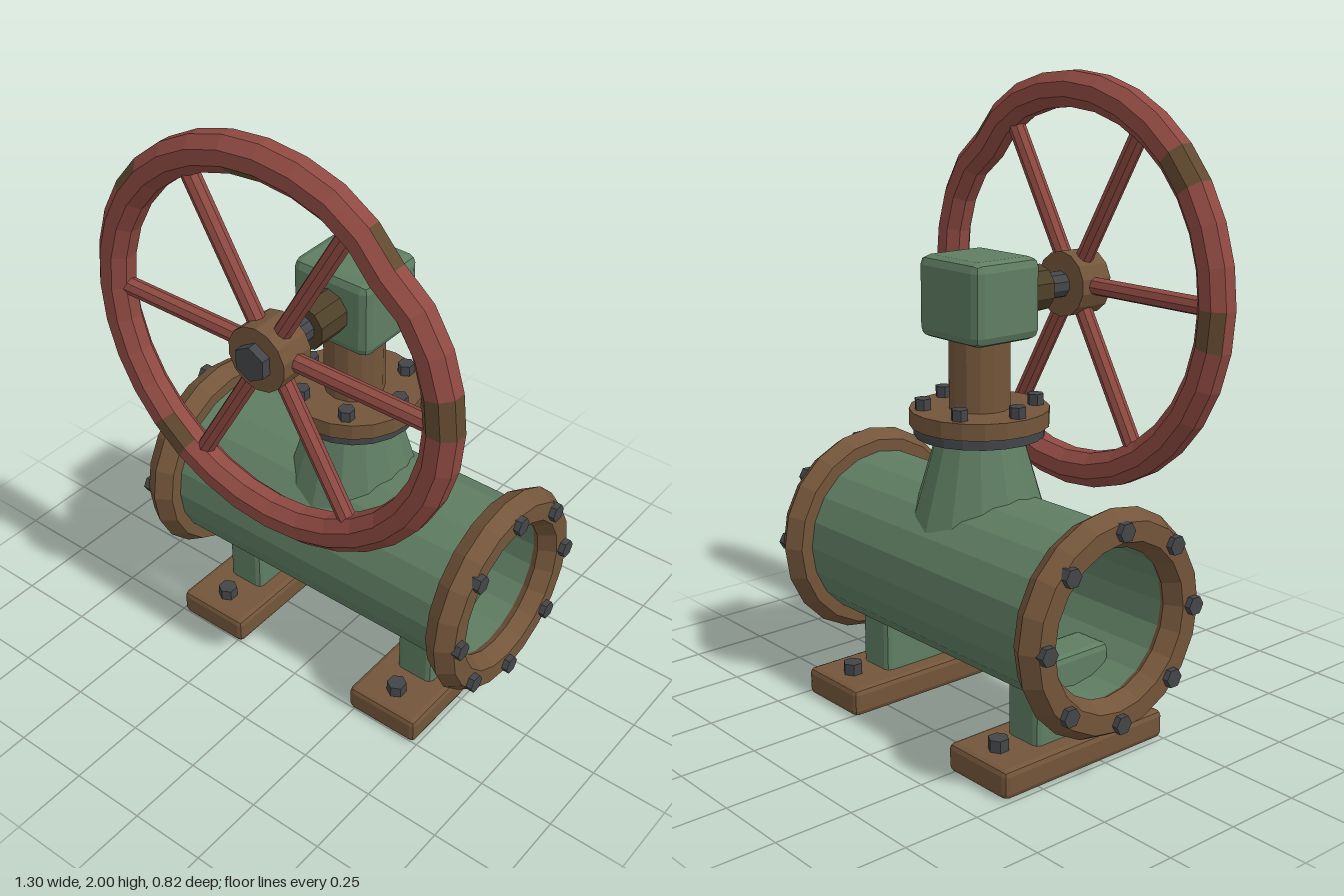
import * as THREE from 'three';
import { RoundedBoxGeometry } from 'three/addons/geometries/RoundedBoxGeometry.js';

const flat = (name, color) => {
  const m = new THREE.MeshStandardMaterial({ color, flatShading: true });
  m.name = name;
  return m;
};

export function createModel() {
  const green = flat('greenPaint', 0x5f7d62);
  const brown = flat('rustBrown', 0x73553a);
  const red = flat('wheelRed', 0x8f4a42);
  const steel = flat('darkSteel', 0x434548);
  const patch = flat('rustPatch', 0x624a30);
  const bronze = flat('darkBronze', 0x4e4029);

  const model = new THREE.Group();
  model.name = 'gateValve';
  const AXIS_Y = 0.485, AXIS_Z = -0.065, WHEEL_Y = 1.35, WHEEL_Z = 0.32;

  const add = (name, geo, mat, x = 0, y = 0, z = 0, parent = model) => {
    const m = new THREE.Mesh(geo, mat);
    m.name = name;
    m.position.set(x, y, z);
    parent.add(m);
    return m;
  };
  // upright cylinder between two heights
  const post = (name, mat, y0, y1, rBottom, rTop, sides) =>
    add(name, new THREE.CylinderGeometry(rTop, rBottom, y1 - y0, sides), mat, 0, (y0 + y1) / 2, AXIS_Z);
  // cylinder along z on the wheel axis
  const spindle = (name, mat, z0, z1, r, sides) =>
    add(name, new THREE.CylinderGeometry(r, r, z1 - z0, sides).rotateX(Math.PI / 2), mat, 0, WHEEL_Y, (z0 + z1) / 2);

  // hollow pipe along x
  const wall = [[0.275, -0.59], [0.275, 0.59], [0.238, 0.59], [0.238, -0.59], [0.275, -0.59]];
  const pipe = new THREE.LatheGeometry(wall.map(p => new THREE.Vector2(...p)), 20).rotateZ(Math.PI / 2);
  add('pipe', pipe, green, 0, AXIS_Y, AXIS_Z);

  const flangeGeo = new THREE.TorusGeometry(0.285, 0.06, 6, 20).rotateY(Math.PI / 2);
  const pipeBolt = new THREE.CylinderGeometry(0.03, 0.03, 0.05, 6).rotateZ(Math.PI / 2);
  const footBolt = new THREE.CylinderGeometry(0.032, 0.032, 0.06, 6);
  for (const s of [-1, 1]) {
    // end flange with a ring of bolts
    add('endFlange', flangeGeo, brown, s * 0.5675, AXIS_Y, AXIS_Z);
    for (let i = 0; i < 8; i++) {
      const a = i * Math.PI / 4;
      add('flangeBolt', pipeBolt, steel, s * 0.614, AXIS_Y + 0.29 * Math.sin(a), AXIS_Z + 0.29 * Math.cos(a));
    }
    // support leg, reaching through the pipe wall, and its foot
    add('leg', new RoundedBoxGeometry(0.135, 0.285, 0.29, 1, 0.02), green, s * 0.36, 0.2025, AXIS_Z);
    add('foot', new RoundedBoxGeometry(0.26, 0.09, 0.64, 1, 0.018), brown, s * 0.36, 0.048, AXIS_Z);
    for (const t of [-1, 1]) add('footBolt', footBolt, steel, s * 0.36, 0.1, AXIS_Z + t * 0.235);
  }

  // bonnet, gasket, bonnet flange and neck
  post('bonnet', green, 0.53, 0.94, 0.25, 0.13, 14);
  post('gasket', steel, 0.93, 0.962, 0.2, 0.2, 20);
  post('bonnetFlange', brown, 0.962, 1.013, 0.214, 0.214, 20);
  post('neck', brown, 1.01, 1.25, 0.095, 0.095, 14);
  const bonnetBolt = new THREE.CylinderGeometry(0.026, 0.026, 0.05, 6);
  for (let i = 0; i < 6; i++) {
    const a = i * Math.PI / 3;
    add('bonnetBolt', bonnetBolt, steel, 0.173 * Math.cos(a), 1.022, AXIS_Z + 0.173 * Math.sin(a));
  }
  add('gearBox', new RoundedBoxGeometry(0.28, 0.25, 0.252, 1, 0.03), green, 0, WHEEL_Y, AXIS_Z);

  // spindle parts from gear box to wheel nut
  spindle('collar', bronze, 0.04, 0.177, 0.073, 10);
  spindle('shaft', steel, 0.1, 0.385, 0.042, 10);
  spindle('hub', brown, 0.265, 0.382, 0.103, 14);
  spindle('hubNut', steel, 0.37, 0.412, 0.057, 6);

  // hand wheel: octagonal rim with a dent and rusted faces
  const wheel = new THREE.Group();
  wheel.name = 'handWheel';
  wheel.position.set(0, WHEEL_Y, WHEEL_Z);
  model.add(wheel);
  const SIDES = 8, SEGS = 32, R = 0.595, r = 0.0595;
  const rim = new THREE.TorusGeometry(R, r, SIDES, SEGS);
  const pos = rim.attributes.position;
  for (let j = 0; j <= SIDES; j++) {
    for (let i = 0; i <= SEGS; i++) {
      const u = i / SEGS * Math.PI * 2, v = (j + 0.5) / SIDES * Math.PI * 2;
      const dent = 0.03 * Math.exp(-(((u - 0.8) / 0.17) ** 2));
      const d = R - dent + r * Math.cos(v);
      pos.setXYZ(j * (SEGS + 1) + i, d * Math.cos(u), d * Math.sin(u), r * 0.93 * Math.sin(v));
    }
  }
  rim.computeVertexNormals();
  // rusted bands (0 outer front, 1 front, 3 inner, 5 back, 7 outer) for each segment
  const rusted = { 0: [0, 1, 2, 7], 4: [6, 7], 8: [2, 3], 12: [0, 5, 6, 7], 16: [5, 6], 20: [0, 1, 2] };
  const clean = [], rust = [];
  const src = Array.from(rim.index.array);
  for (let j = 0; j < SIDES; j++) {
    for (let i = 0; i < SEGS; i++) {
      const start = (j * SEGS + i) * 6;
      (rusted[i]?.includes(j) ? rust : clean).push(...src.slice(start, start + 6));
    }
  }
  rim.setIndex([...clean, ...rust]);
  rim.clearGroups();
  rim.addGroup(0, clean.length, 0);
  rim.addGroup(clean.length, rust.length, 1);
  add('rim', rim, [red, patch], 0, 0, 0, wheel);

  // six spokes
  const spokeGeo = new THREE.CylinderGeometry(0.028, 0.028, 0.5, 8).rotateZ(Math.PI / 2).translate(0.32, 0, 0);
  for (let i = 0; i < 6; i++) {
    add('spoke', spokeGeo, red, 0, 0, 0, wheel).rotation.z = i * Math.PI / 3;
  }
  return model;
}
